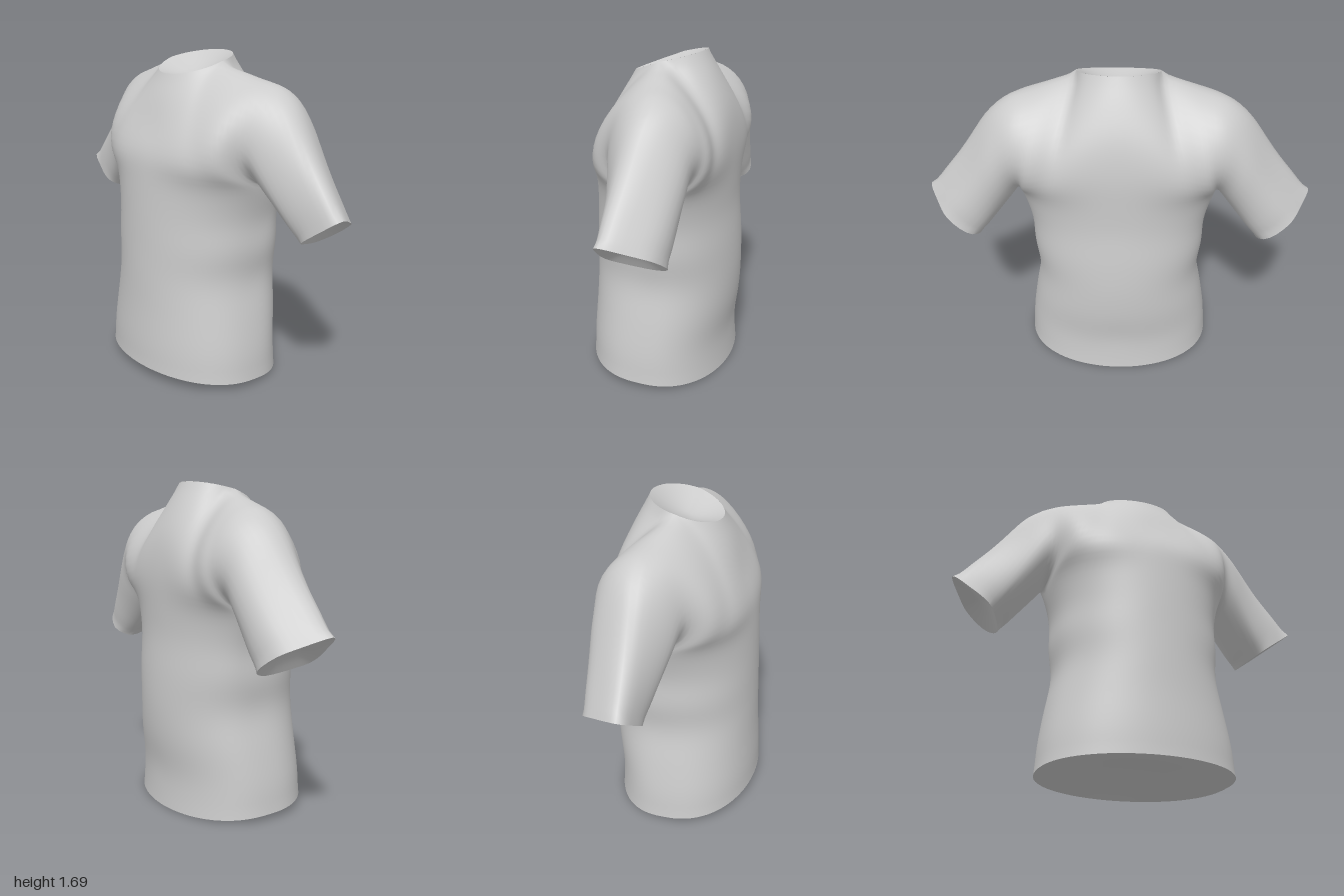
import * as THREE from 'three';
import { mergeGeometries, mergeVertices } from 'three/addons/utils/BufferGeometryUtils.js';

const V = (x, y, z) => new THREE.Vector3(x, y, z);
const curve = (pts, closed = false) => new THREE.CatmullRomCurve3(pts.map((p) => V(...p)), closed);
const smooth = (t) => t * t * (3 - 2 * t);

const COLS = 20, LOWER = 28, UPPER = 16, SLEEVE = 16, CAP = 8;

// Vertical guide line of the body side, hem to armpit height
const side = curve([[0.51, 0.03, 0], [0.495, 0.2, -0.01], [0.465, 0.38, -0.03], [0.435, 0.56, -0.05],
  [0.452, 0.72, -0.07], [0.455, 0.88, -0.09], [0.5, 1.06, -0.1]]);

// Guide lines of each panel: centre line below and above armpit height, and armhole edge
const PANELS = {
  front: {
    neckDepth: 0.185, neckRise: -0.066,
    low: curve([[0, 0.055, 0.395], [0, 0.2, 0.39], [0, 0.38, 0.38], [0, 0.56, 0.375],
      [0, 0.72, 0.37], [0, 0.88, 0.365], [0, 1.06, 0.357]]),
    centre: curve([[0, 1.06, 0.357], [0, 1.19, 0.343], [0, 1.32, 0.288], [0, 1.46, 0.23], [0, 1.584, 0.165]]),
    armhole: curve([[0.5, 1.06, -0.1], [0.495, 1.12, 0.04], [0.5, 1.25, 0.125], [0.51, 1.4, 0.1],
      [0.515, 1.51, 0.02], [0.52, 1.55, -0.09]]),
  },
  back: {
    neckDepth: -0.18, neckRise: 0.042,
    low: curve([[0, 0, -0.375], [0, 0.18, -0.365], [0, 0.36, -0.387], [0, 0.54, -0.395],
      [0, 0.72, -0.387], [0, 0.9, -0.37], [0, 1.06, -0.37]]),
    centre: curve([[0, 1.06, -0.37], [0, 1.22, -0.37], [0, 1.4, -0.34], [0, 1.56, -0.27], [0, 1.692, -0.2]]),
    armhole: curve([[0.5, 1.06, -0.1], [0.495, 1.12, -0.22], [0.5, 1.25, -0.305], [0.51, 1.4, -0.285],
      [0.515, 1.51, -0.2], [0.52, 1.55, -0.09]]),
  },
};

// Cuff outline: y is the position across the sleeve (-1 inner, 1 outer)
const cuffLine = curve([[0, -1, -0.18], [0, -0.65, -0.03], [0, -0.4, 0.015], [0, 0.3, 0.015],
  [0, 1, -0.03], [0, 0.6, -0.15], [0, 0.15, -0.24], [0, -0.75, -0.255]], true);

// Half cross-section of the body: u runs from the centre line to the side
function bodyPoint(panel, u, t) {
  const s = side.getPoint(t), m = panel.low.getPoint(t);
  const a = u * Math.PI / 2, c = Math.max(0, Math.cos(a));
  return V(s.x * Math.sin(a), s.y + (m.y - s.y) * c, s.z + (m.z - s.z) * Math.pow(c, 0.85));
}

// Upper edge of a panel: quarter of the neckline, then the shoulder seam
function topPoint(panel, u) {
  if (u <= 0.5) {
    const a = u * Math.PI, c = Math.cos(a);
    return V(0.205 * Math.sin(a), 1.65 + panel.neckRise * c, -0.02 + panel.neckDepth * c);
  }
  const k = (u - 0.5) * 2;
  return V(0.205 + 0.315 * k, 1.65 - 0.1 * k - 0.02 * k * (1 - k), -0.02 - 0.07 * k);
}

// Shoulder area: blends the four border curves of the half panel
function yokePoint(panel, u, v) {
  const hu = smooth(u), hv = smooth(v);
  const mix = (p, q, h) => p.clone().lerp(q, h);
  const across = mix(panel.centre.getPoint(v), panel.armhole.getPoint(v), hu);
  const upward = mix(bodyPoint(panel, u, 1), topPoint(panel, u), hv);
  const corners = mix(
    mix(panel.centre.getPoint(0), panel.armhole.getPoint(0), hu),
    mix(panel.centre.getPoint(1), panel.armhole.getPoint(1), hu), hv);
  return across.add(upward).sub(corners);
}

// Sleeve: spans from the armhole loop to the slanted cuff
function sleevePoint(u, s) {
  const p = u <= 0.5 ? PANELS.front.armhole.getPoint(u * 2) : PANELS.back.armhole.getPoint(2 - u * 2);
  const c = cuffLine.getPoint(u), h = c.y;
  const bulge = 0.3 * s * Math.pow(1 - s, 4) * (h + 1) / 2;
  return p.lerp(V(0.86 + 0.14 * h, 0.9 + 0.1 * h, c.z), s).add(V(bulge, bulge, 0));
}

// Half outlines of the neck and hem, from front centre to back centre
const neckRim = (u) => (u <= 0.5 ? topPoint(PANELS.front, u) : topPoint(PANELS.back, 1 - u));
const hemRim = (u) => (u <= 0.5 ? bodyPoint(PANELS.front, u * 2, 0) : bodyPoint(PANELS.back, 2 - u * 2, 0));

// Shallow bowl closing an opening, sunk from the rim along the inward vector
const bowl = (rim, centre, inward) => (u, v) =>
  rim(u).lerp(centre, v).addScaledVector(inward, Math.sin(v * Math.PI / 2));

// Grid surface on one side of the body; flip reverses the faces
function sheet(fn, nu, nv, mirror, flip) {
  const pos = [], idx = [];
  for (let j = 0; j <= nv; j++) {
    for (let i = 0; i <= nu; i++) {
      const p = fn(i / nu, j / nv);
      pos.push(p.x * mirror, p.y, p.z);
    }
  }
  for (let j = 0; j < nv; j++) {
    for (let i = 0; i < nu; i++) {
      const a = j * (nu + 1) + i, b = a + 1, c = a + nu + 1, d = c + 1;
      if (flip) idx.push(a, c, b, b, c, d);
      else idx.push(a, b, c, b, d, c);
    }
  }
  const g = new THREE.BufferGeometry();
  g.setAttribute('position', new THREE.Float32BufferAttribute(pos, 3));
  g.setIndex(idx);
  return g;
}

// Relaxes the welded cloth without shrinking it; open rims stay in place
function relax(geometry, rounds) {
  const pos = geometry.attributes.position, idx = geometry.index.array;
  const near = Array.from({ length: pos.count }, () => new Set());
  const edges = new Set();
  for (let i = 0; i < idx.length; i += 3) {
    for (let k = 0; k < 3; k++) {
      const a = idx[i + k], b = idx[i + (k + 1) % 3];
      edges.add(a * pos.count + b);
      near[a].add(b);
      near[b].add(a);
    }
  }
  const fixed = near.map((set, a) => [...set].some(
    (b) => edges.has(a * pos.count + b) !== edges.has(b * pos.count + a)));
  for (let r = 0; r < rounds * 2; r++) {
    const pts = near.map((_, i) => new THREE.Vector3().fromBufferAttribute(pos, i));
    near.forEach((set, i) => {
      if (fixed[i]) return;
      const mean = V(0, 0, 0);
      set.forEach((j) => mean.add(pts[j]));
      const p = pts[i].clone().lerp(mean.divideScalar(set.size), r % 2 ? -0.51 : 0.5);
      pos.setXYZ(i, p.x, p.y, p.z);
    });
  }
}

export function createModel() {
  const group = new THREE.Group();
  group.name = 'shortSleeveShirt';
  const material = new THREE.MeshStandardMaterial({ color: 0xcccccc, roughness: 0.9, side: THREE.DoubleSide });
  const add = (name, sheets, rounds) => {
    const g = mergeVertices(mergeGeometries(sheets), 1e-4);
    relax(g, rounds);
    g.computeVertexNormals();
    const mesh = new THREE.Mesh(g, material);
    mesh.name = name;
    group.add(mesh);
  };

  // Body and sleeves, welded into one seamless cloth surface
  const cloth = [];
  for (const m of [1, -1]) {
    for (const [name, panel] of Object.entries(PANELS)) {
      const flip = (name === 'back') !== (m < 0);
      cloth.push(sheet((u, t) => bodyPoint(panel, u, t), COLS, LOWER, m, flip));
      cloth.push(sheet((u, v) => yokePoint(panel, u, v), COLS, UPPER, m, flip));
    }
    cloth.push(sheet(sleevePoint, UPPER * 2, SLEEVE, m, m > 0));
  }
  add('shirt', cloth, 30);

  // Linings set just inside the neck, hem and cuffs
  const neck = bowl(neckRim, V(0, 1.64, -0.02), V(0, -0.06, 0));
  const hem = bowl(hemRim, V(0, 0.03, 0), V(0, 0.06, 0));
  const cuff = bowl((u) => sleevePoint(u, 1), V(0.86, 0.9, -0.12), V(-0.025, 0.035, 0));
  add('neckLining', [1, -1].map((m) => sheet(neck, COLS * 2, CAP, m, m < 0)), 0);
  add('hemLining', [1, -1].map((m) => sheet(hem, COLS * 2, CAP, m, m > 0)), 0);
  add('leftCuffLining', [sheet(cuff, UPPER * 2, CAP, 1, true)], 0);
  add('rightCuffLining', [sheet(cuff, UPPER * 2, CAP, -1, false)], 0);
  return group;
}
